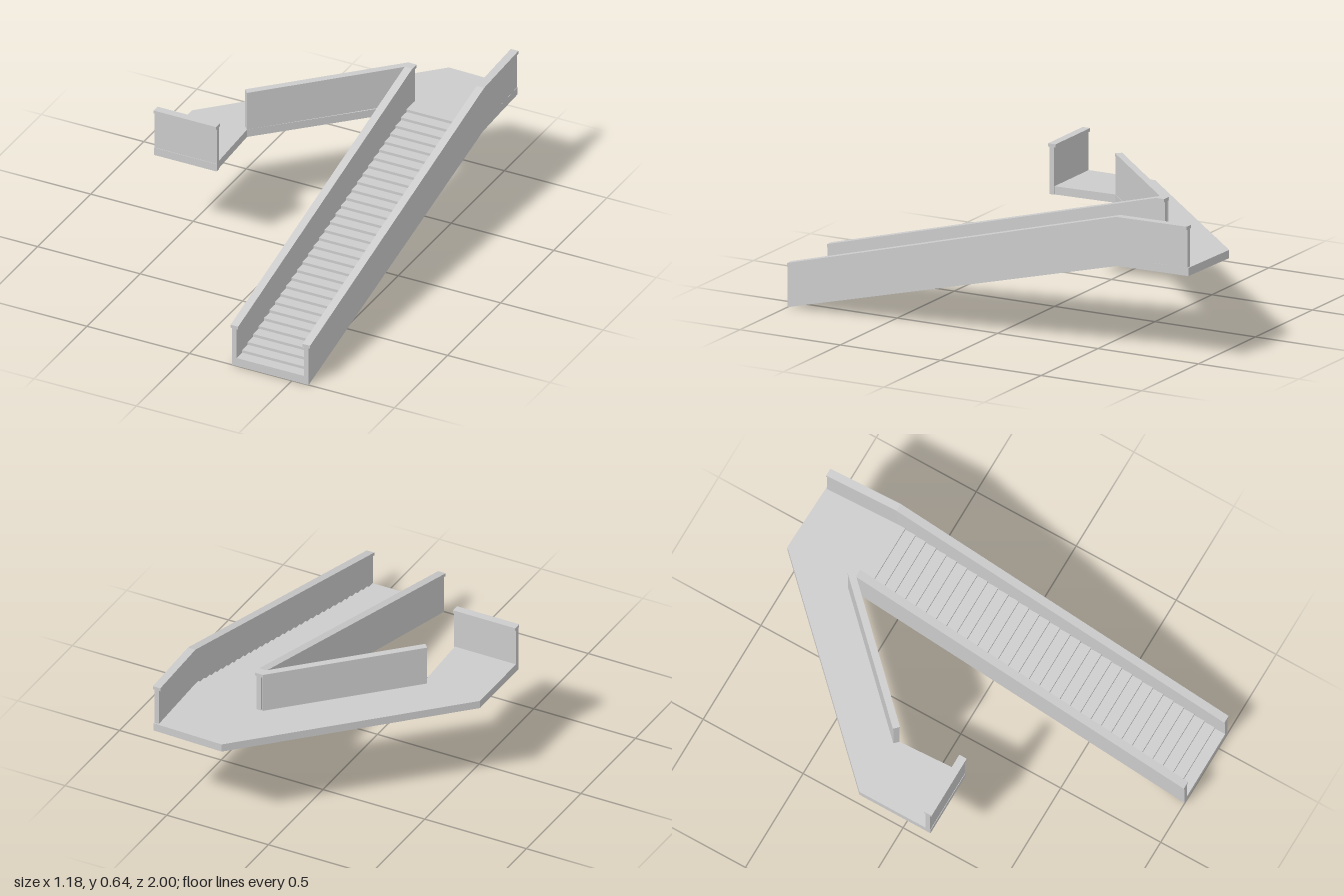
import * as THREE from 'three';

const material = new THREE.MeshStandardMaterial({ color: 0xcccccc, flatShading: true, side: THREE.DoubleSide });

function add(parent, name, geometry) {
  const mesh = new THREE.Mesh(geometry, material);
  mesh.name = name;
  parent.add(mesh);
}

// Rectangular bar swept through points [x, z, bottom, top]
function bar(points, width) {
  const a = points[0], b = points[points.length - 1];
  const len = Math.hypot(b[0] - a[0], b[1] - a[1]);
  const nx = -(b[1] - a[1]) / len * width / 2;
  const nz = (b[0] - a[0]) / len * width / 2;
  const pos = [], idx = [];
  for (const [x, z, lo, hi] of points) {
    pos.push(x - nx, lo, z - nz, x + nx, lo, z + nz, x + nx, hi, z + nz, x - nx, hi, z - nz);
  }
  const n = points.length;
  for (let i = 0; i < n - 1; i++) {
    for (let j = 0; j < 4; j++) {
      const p = i * 4 + j, q = i * 4 + (j + 1) % 4;
      idx.push(p, q, q + 4, p, q + 4, p + 4);
    }
  }
  const e = (n - 1) * 4;
  idx.push(0, 2, 1, 0, 3, 2, e, e + 1, e + 2, e, e + 2, e + 3);
  const g = new THREE.BufferGeometry();
  g.setAttribute('position', new THREE.Float32BufferAttribute(pos, 3));
  g.setIndex(idx);
  const flat = g.toNonIndexed();
  flat.computeVertexNormals();
  return flat;
}

// Solid parapet with a slightly wider handrail on top
function parapet(parent, name, points, wallWidth, capWidth) {
  const group = new THREE.Group();
  group.name = name;
  add(group, 'wall', bar(points.map(([x, z, lo, hi]) => [x, z, lo, hi - 0.015]), wallWidth));
  add(group, 'handrail', bar(points.map(([x, z, lo, hi]) => [x, z, hi - 0.015, hi]), capWidth));
  parent.add(group);
}

export function createModel() {
  const model = new THREE.Group();
  model.name = 'staircase';
  const LOW = 0.41, FLOOR = 0.447, TOP = 0.633, BEND = -0.64;

  // Flight of steps: sawtooth top over a straight sloping underside
  const steps = 31, run = 1.6 / steps, rise = (FLOOR - 0.04) / steps;
  const profile = new THREE.Shape();
  profile.moveTo(1, 0);
  for (let i = 0; i < steps; i++) {
    const y = 0.04 + i * rise;
    profile.lineTo(1 - i * run, y);
    profile.lineTo(1 - (i + 1) * run, y);
  }
  profile.lineTo(-0.6, FLOOR);
  profile.lineTo(BEND, FLOOR);
  profile.lineTo(BEND, LOW);
  profile.closePath();
  const flight = new THREE.ExtrudeGeometry(profile, { depth: 0.34, bevelEnabled: false });
  flight.rotateY(-Math.PI / 2).translate(0.565, 0, 0);
  add(model, 'steps', flight);

  // Angled landing slab, drawn as [x, z] corners
  const corners = [[-0.592, 0.19], [-0.592, -0.165], [0.23, -1], [0.57, -0.99], [0.58, BEND],
    [0.21, BEND], [-0.305, -0.13], [-0.29, 0.19]];
  const outline = new THREE.Shape(corners.map(([x, z]) => new THREE.Vector2(x, -z)));
  const slab = new THREE.ExtrudeGeometry(outline, { depth: FLOOR - LOW, bevelEnabled: false });
  slab.rotateX(-Math.PI / 2).translate(0, LOW, 0);
  add(model, 'landing', slab);

  // Parapets on both sides of the flight
  parapet(model, 'leftParapet',
    [[0.57, 1, 0, 0.2], [0.57, BEND, LOW, TOP], [0.558, -0.985, LOW, TOP]], 0.022, 0.037);
  parapet(model, 'rightParapet',
    [[0.219, 1, 0, 0.2], [0.219, BEND, LOW, TOP], [0.219, -0.68, LOW, TOP]], 0.022, 0.037);

  // Parapet on the inner diagonal edge and across the far end of the landing
  parapet(model, 'diagonalParapet',
    [[0.21, -0.67, LOW, TOP], [-0.315, -0.14, LOW, TOP]], 0.028, 0.032);
  parapet(model, 'endParapet',
    [[-0.592, 0.177, LOW, 0.637], [-0.287, 0.177, LOW, 0.637]], 0.022, 0.037);

  return model;
}
